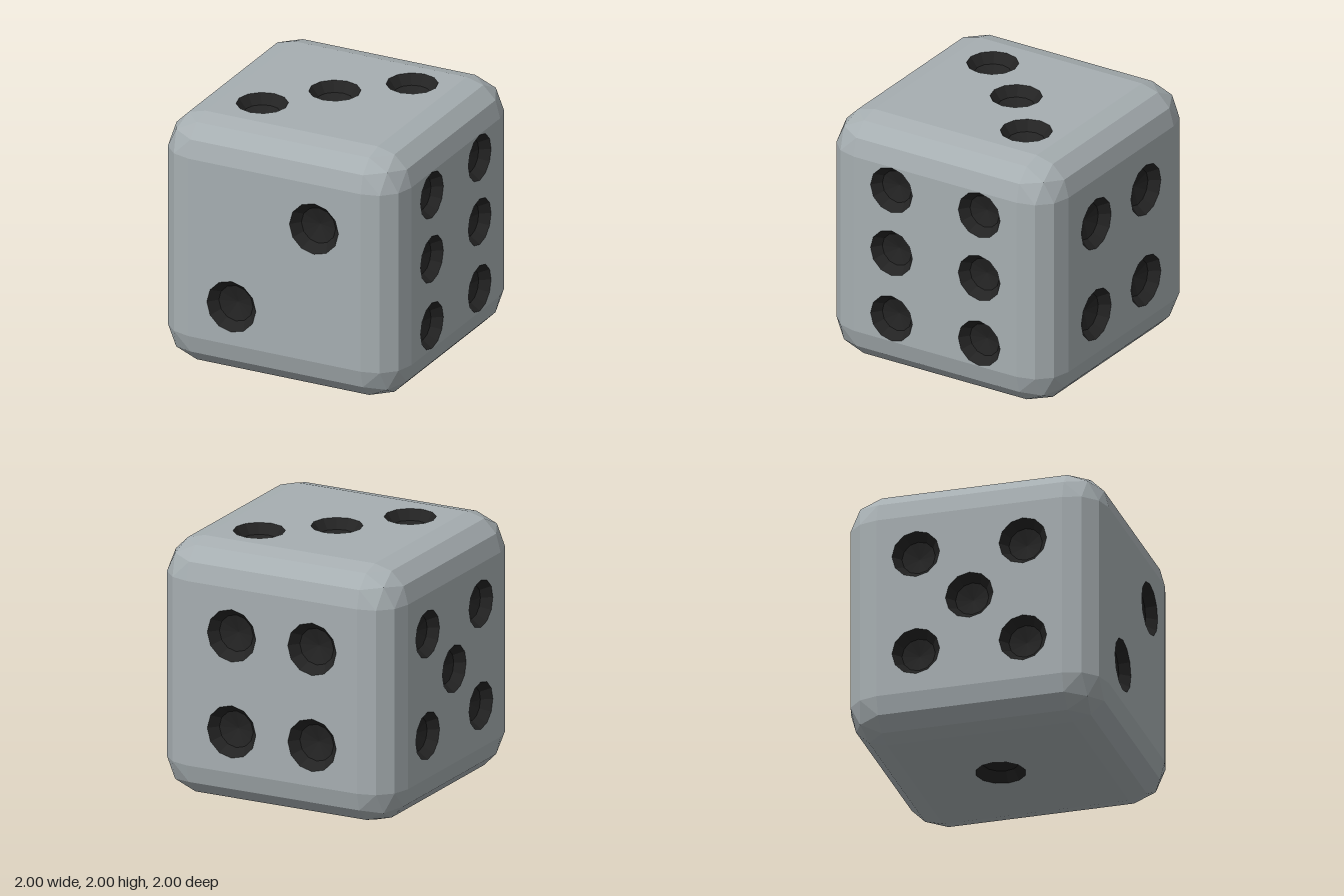
import * as THREE from 'three';
import { ConvexGeometry } from 'three/addons/geometries/ConvexGeometry.js';

const BEVEL = 0.28, FLAT = 1 - BEVEL, SIDES = 12;

const grey = new THREE.MeshStandardMaterial({ color: 0xa6aeb1, flatShading: true });
grey.name = 'grey body';
const black = new THREE.MeshStandardMaterial({ color: 0x232323, flatShading: true, side: THREE.DoubleSide });
black.name = 'black pips';

// Each face: rotation that turns +z outward, pip radius, pip centres as seen from outside
const H = Math.PI / 2;
const FACES = [
  { name: 'front', rot: [0, 0], r: 0.205, pips: [[0.33, 0.36], [-0.36, -0.41]] },
  { name: 'left', rot: [0, H], r: 0.185,
    pips: [-0.385, 0.39].flatMap(u => [0.53, 0.01, -0.53].map(v => [u, v])) },
  { name: 'back', rot: [0, Math.PI], r: 0.205,
    pips: [-0.34, 0.34].flatMap(u => [0.35, -0.4].map(v => [u, v])) },
  { name: 'right', rot: [0, -H], r: 0.185,
    pips: [[0, 0.015], ...[-0.415, 0.415].flatMap(u => [0.405, -0.39].map(v => [u, v]))] },
  { name: 'top', rot: [-H, 0], r: 0.195, pips: [[0.415, 0.43], [-0.035, 0.05], [-0.41, -0.4]] },
  { name: 'bottom', rot: [H, 0], r: 0.19, pips: [[-0.02, -0.05]] },
];

// Rounded edges and corners: three-segment bevel hull with the six flat faces left out
function bevelGeometry() {
  const points = [];
  const step = i => Math.sin(i * Math.PI / 6);
  for (const sx of [-1, 1]) for (const sy of [-1, 1]) for (const sz of [-1, 1])
    for (let i = 0; i <= 3; i++) for (let j = 0; i + j <= 3; j++) {
      const p = new THREE.Vector3(step(i), step(j), step(3 - i - j)).setLength(BEVEL);
      points.push(p.addScalar(FLAT).multiply(new THREE.Vector3(sx, sy, sz)));
    }
  const hull = new ConvexGeometry(points);
  const pos = hull.attributes.position, kept = [];
  const tri = new THREE.Triangle(), n = new THREE.Vector3();
  for (let i = 0; i < pos.count; i += 3) {
    tri.setFromAttributeAndIndices(pos, i, i + 1, i + 2);
    tri.getNormal(n);
    if (Math.max(Math.abs(n.x), Math.abs(n.y), Math.abs(n.z)) > 0.999) continue;
    for (const p of [tri.a, tri.b, tri.c]) kept.push(p.x, p.y, p.z);
  }
  const geo = new THREE.BufferGeometry();
  geo.setAttribute('position', new THREE.Float32BufferAttribute(kept, 3));
  geo.computeVertexNormals();
  return geo;
}

// Flat face with a polygonal opening for each pip
function faceGeometry(pips, r) {
  const shape = new THREE.Shape([[-1, -1], [1, -1], [1, 1], [-1, 1]]
    .map(([x, y]) => new THREE.Vector2(x * FLAT, y * FLAT)));
  for (const [u, v] of pips) {
    const ring = [];
    for (let i = 0; i < SIDES; i++) {
      const a = -i / SIDES * Math.PI * 2;
      ring.push(new THREE.Vector2(u + r * Math.cos(a), v + r * Math.sin(a)));
    }
    shape.holes.push(new THREE.Path(ring));
  }
  return new THREE.ShapeGeometry(shape);
}

// Shallow faceted bowl, rim at z = 0
function pipGeometry(r) {
  const profile = [[r, 0], [r * 0.7, -0.075], [0, -0.11]].map(p => new THREE.Vector2(...p));
  return new THREE.LatheGeometry(profile, SIDES).rotateX(H);
}

export function createModel() {
  const model = new THREE.Group();
  model.name = 'die';

  const bevel = new THREE.Mesh(bevelGeometry(), grey);
  bevel.name = 'roundedEdges';
  bevel.position.y = 1;
  model.add(bevel);

  for (const { name, rot, r, pips } of FACES) {
    const side = new THREE.Group();
    side.name = name + 'Side';
    side.position.y = 1;
    side.rotation.set(rot[0], rot[1], 0);

    const face = new THREE.Mesh(faceGeometry(pips, r), grey);
    face.name = name + 'Face';
    face.position.z = 1;
    side.add(face);

    const bowl = pipGeometry(r);
    for (const [u, v] of pips) {
      const pip = new THREE.Mesh(bowl, black);
      pip.name = name + 'Pip';
      pip.position.set(u, v, 1);
      side.add(pip);
    }
    model.add(side);
  }
  return model;
}
